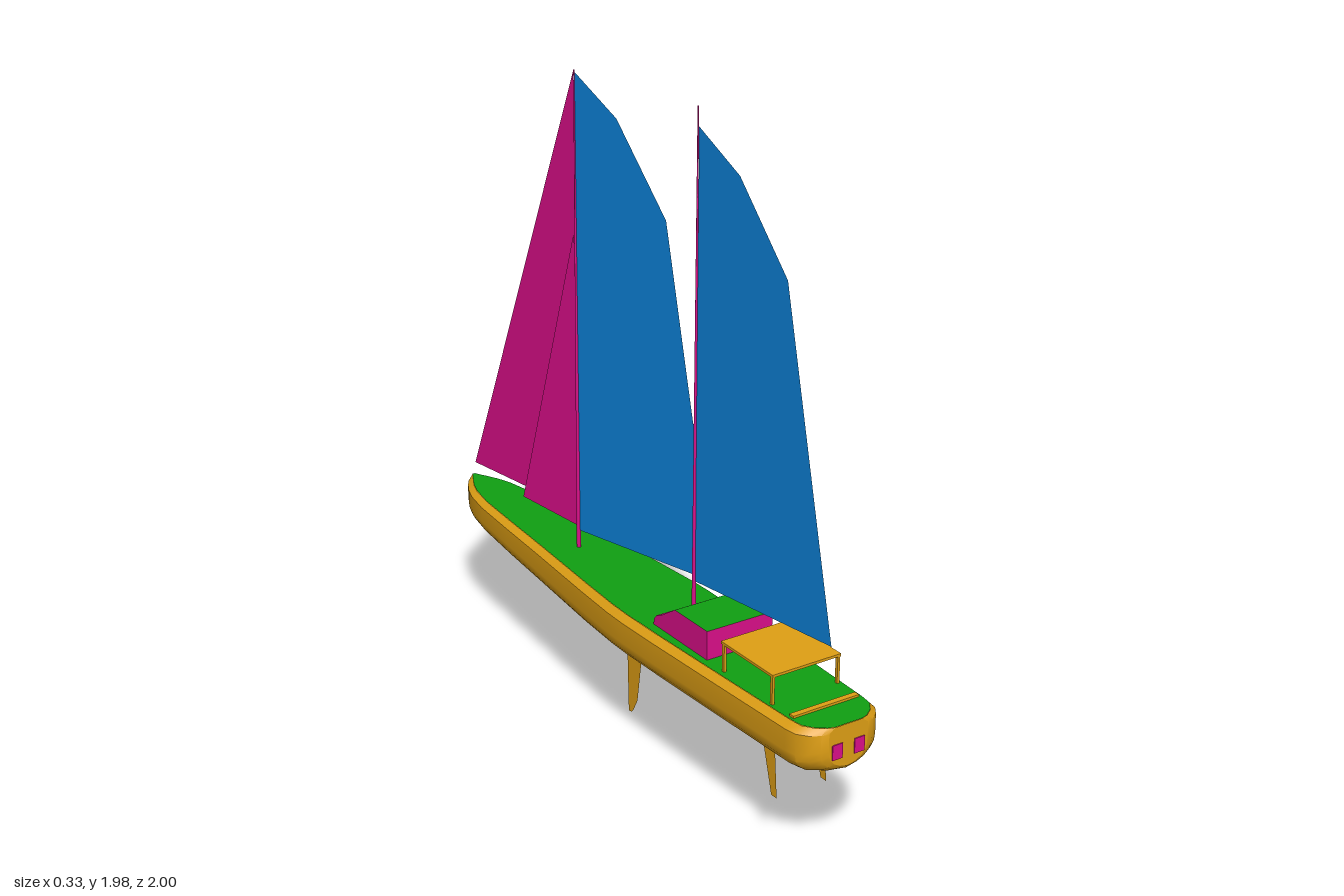
import * as THREE from 'three';
import { toCreasedNormals } from 'three/addons/utils/BufferGeometryUtils.js';

const paint = (name, color) => {
  const m = new THREE.MeshStandardMaterial({ color, side: THREE.DoubleSide });
  m.name = name;
  return m;
};

export function createModel() {
  const ochre = paint('ochre', 0xe0a015);
  const green = paint('deck green', 0x10a012);
  const pink = paint('magenta', 0xdc0f8a);
  const blue = paint('sail blue', 0x0d80d6);

  const model = new THREE.Group();
  model.name = 'ketch';

  function add(name, geometry, material) {
    const mesh = new THREE.Mesh(geometry, material);
    mesh.name = name;
    model.add(mesh);
    return mesh;
  }

  // Flat convex panel, counter-clockwise seen from its front
  function panel(name, corners, material) {
    const index = [];
    for (let i = 1; i < corners.length - 1; i++) index.push(0, i, i + 1);
    const g = new THREE.BufferGeometry();
    g.setAttribute('position', new THREE.Float32BufferAttribute(corners.flat(), 3));
    g.setIndex(index);
    g.computeVertexNormals();
    return add(name, g, material);
  }

  function box(name, w, h, d, x, y, z, material) {
    return add(name, new THREE.BoxGeometry(w, h, d).translate(x, y, z), material);
  }

  // Hull stations from bow to stern: z, half width, keel height
  const TOP = 0.453;
  const stations = [
    [-1, 0.012, 0.375], [-0.985, 0.028, 0.35], [-0.96, 0.045, 0.338], [-0.92, 0.065, 0.335],
    [-0.87, 0.082, 0.331], [-0.78, 0.098, 0.324], [-0.6, 0.112, 0.311], [-0.4, 0.126, 0.3],
    [-0.1, 0.15, 0.287], [0.06, 0.161, 0.285], [0.14, 0.163, 0.285], [0.3, 0.16, 0.285],
    [0.6, 0.15, 0.285], [0.9, 0.139, 0.285], [0.94, 0.134, 0.291], [0.97, 0.113, 0.303],
    [0.99, 0.086, 0.315], [0.997, 0.065, 0.325],
  ];
  // Half section: width factor, depth factor, from sheer to keel
  const section = [[1, 0.12], [1, 0.5], [0.97, 0.65], [0.88, 0.76], [0.7, 0.87], [0.4, 0.95]];
  const deckHalf = (w) => Math.max(w - 0.02, w * 0.4);

  const rings = stations.map(([z, w, keel]) => {
    const half = [[deckHalf(w), TOP], ...section.map(([a, b]) => [w * a, TOP - (TOP - keel) * b])];
    return [
      ...half.map(([x, y]) => [-x, y, z]),
      [0, keel, z],
      ...half.reverse().map(([x, y]) => [x, y, z]),
    ];
  });
  const n = rings[0].length;
  const hullIndex = [];
  for (let i = 0; i < rings.length - 1; i++) {
    for (let j = 0; j < n - 1; j++) {
      const a = i * n + j;
      hullIndex.push(a, a + 1, a + n, a + 1, a + n + 1, a + n);
    }
  }
  const hull = new THREE.BufferGeometry();
  hull.setAttribute('position', new THREE.Float32BufferAttribute(rings.flat(2), 3));
  hull.setIndex(hullIndex);
  add('hull', toCreasedNormals(hull, 0.5), ochre);
  panel('transom', rings[rings.length - 1], ochre);
  panel('stem', [...rings[0]].reverse(), ochre);

  // Deck
  const starboard = stations.map(([z, w]) => new THREE.Vector2(deckHalf(w), -z));
  const port = stations.map(([z, w]) => new THREE.Vector2(-deckHalf(w), -z)).reverse();
  const deck = new THREE.ShapeGeometry(new THREE.Shape([...starboard, ...port]));
  add('deck', deck.rotateX(-Math.PI / 2).translate(0, TOP + 0.001, 0), green);

  // Stern windows
  for (const s of [-1, 1]) box('sternWindow', 0.034, 0.045, 0.004, s * 0.037, 0.378, 0.998, pink);

  // Keel fin and twin rudders, thin upright plates given as [z, y]
  const fin = (name, x, outline) => panel(name, outline.map(([z, y]) => [x, y, z]), ochre);
  fin('keel', 0, [[0.015, 0.3], [-0.022, 0.055], [-0.045, 0.012], [-0.055, 0.002], [-0.07, 0], [-0.08, 0.3]]);
  for (const x of [-0.085, 0.085]) fin('rudder', x, [[0.785, 0.33], [0.8, 0.152], [0.775, 0.152], [0.725, 0.33]]);

  // Deckhouse: profile [z, y] swept across the beam, one colour per strip
  const H = 0.112;
  const profile = [[0.5, TOP], [0.5, 0.543], [0.34, 0.543], [0.27, 0.497], [0.247, 0.487], [0.236, 0.473], [0.232, TOP]];
  const strips = [
    ['houseBack', pink], ['houseRoof', green], ['windshield', ochre],
    ['houseFront', pink], ['houseFront', pink], ['houseFront', pink],
  ];
  strips.forEach(([name, material], i) => {
    const [[z0, y0], [z1, y1]] = [profile[i], profile[i + 1]];
    panel(name, [[-H, y0, z0], [H, y0, z0], [H, y1, z1], [-H, y1, z1]], material);
  });
  const sideAt = (x, pts) => pts.map(([z, y]) => [x, y, z]);
  const cabin = [[0.5, TOP], [0.27, TOP], ...profile.slice(1, 4).reverse()];
  const nose = [[0.27, TOP], ...profile.slice(3).reverse()];
  panel('houseSide', sideAt(H, cabin), ochre);
  panel('houseSide', sideAt(-H, cabin).reverse(), pink);
  panel('houseNose', sideAt(H, nose), pink);
  panel('houseNose', sideAt(-H, nose).reverse(), pink);

  // Cockpit canopy on four posts, and the stern traveller bar
  box('canopy', 0.23, 0.008, 0.24, 0, 0.541, 0.69, ochre);
  for (const x of [-0.11, 0.11]) {
    for (const z of [0.58, 0.803]) box('canopyPost', 0.008, 0.09, 0.01, x, 0.496, z, ochre);
  }
  box('travellerBar', 0.22, 0.008, 0.018, 0, 0.457, 0.89, ochre);

  // Masts
  const MX = -0.012;
  const mast = (name, z, top) =>
    add(name, new THREE.CylinderGeometry(0.002, 0.007, top - TOP, 10).translate(MX, (top + TOP) / 2, z), pink);
  mast('mainMast', -0.33, 1.945);
  mast('mizzenMast', 0.29, 1.975);

  // Mainsail and mizzen: upright planes swung out by a slope, outline [z, y]
  function sail(name, mastZ, slope, outline) {
    panel(name, outline.map(([z, y]) => [MX + (z - mastZ) * slope, y, z]), blue);
  }
  sail('mainSail', -0.33, 0.195,
    [[-0.33, 0.51], [-0.33, 1.94], [-0.16, 1.835], [0.035, 1.58], [0.235, 0.53]]);
  sail('mizzenSail', 0.295, 0.1,
    [[0.295, 0.588], [0.295, 1.92], [0.46, 1.822], [0.652, 1.585], [0.856, 0.605]]);

  // Headsails: head, tack, clew
  panel('jib', [[MX, 1.94, -0.335], [0.137, 0.45, -0.525], [MX, 0.51, -0.965]], pink);
  panel('staysail', [[MX, 1.455, -0.342], [0.075, 0.456, -0.355], [MX, 0.5, -0.66]], pink);

  return model;
}
